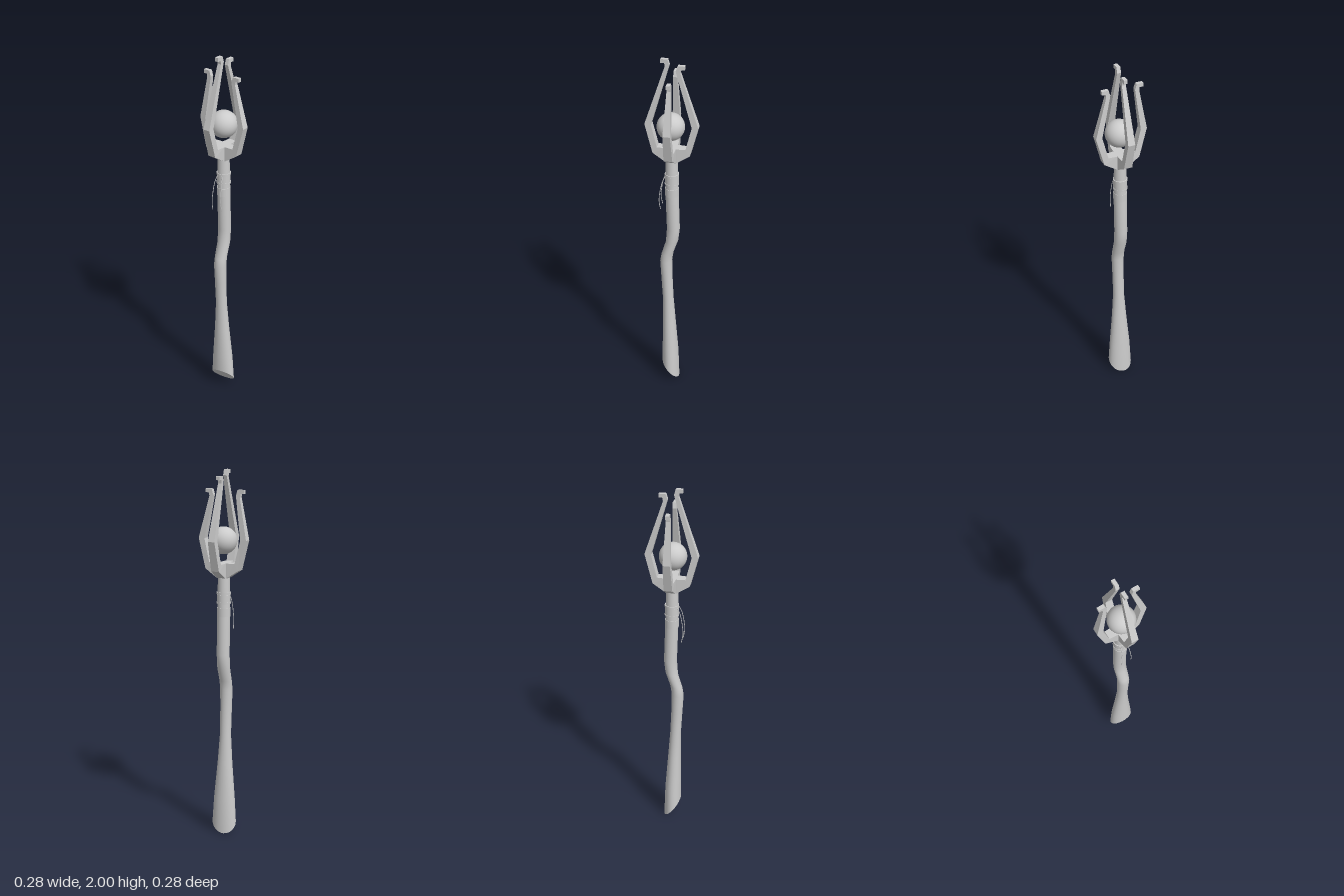
import * as THREE from 'three';

const smooth = new THREE.MeshStandardMaterial({ color: 0xcccccc });
const faceted = new THREE.MeshStandardMaterial({ color: 0xcccccc, flatShading: true });

function part(name, geometry, material, parent) {
  const mesh = new THREE.Mesh(geometry, material);
  mesh.name = name;
  parent.add(mesh);
  return mesh;
}

// Skins a list of equal-length closed rings (arrays of [x, y, z]) and closes both ends.
// Rings run counter-clockwise when seen from the far end.
function loft(rings) {
  const n = rings[0].length, pos = [], index = [];
  rings.forEach(r => r.forEach(p => pos.push(...p)));
  for (let i = 0; i < rings.length - 1; i++) {
    for (let j = 0; j < n; j++) {
      const a = i * n + j, b = i * n + (j + 1) % n;
      index.push(a, b, a + n, b, b + n, a + n);
    }
  }
  // caps use their own vertices so the rims stay sharp
  [rings[0], rings[rings.length - 1]].forEach((ring, end) => {
    const s = pos.length / 3;
    ring.forEach(p => pos.push(...p));
    for (let j = 1; j < n - 1; j++) index.push(s, s + (end ? j : j + 1), s + (end ? j + 1 : j));
  });
  const g = new THREE.BufferGeometry();
  g.setAttribute('position', new THREE.Float32BufferAttribute(pos, 3));
  g.setIndex(index);
  g.computeVertexNormals();
  return g;
}

// Shaft stations: height, centre x, radius x, radius z, slant of the ring
const SHAFT = [
  [0.057, -0.005, 0.048, 0.069, 1.15],
  [0.2, -0.008, 0.045, 0.06, 0.3],
  [0.4, -0.015, 0.036, 0.042, 0],
  [0.56, -0.021, 0.03, 0.031, 0],
  [0.7, -0.028, 0.031, 0.032, 0],
  [0.81, -0.032, 0.033, 0.034, -0.15],
  [0.86, -0.024, 0.033, 0.034, -0.25],
  [0.94, 0.001, 0.034, 0.035, -0.2],
  [1.02, 0.008, 0.035, 0.035, 0],
  [1.2, 0.002, 0.035, 0.035, 0],
  [1.34, -0.001, 0.034, 0.034, 0],
  [1.46, -0.001, 0.031, 0.031, 0],
];

function shaftGeometry() {
  const sides = 24;
  return loft(SHAFT.map(([y, cx, rx, rz, slant]) =>
    Array.from({ length: sides }, (_, j) => {
      const a = -j / sides * Math.PI * 2;
      const x = rx * Math.cos(a), z = rz * Math.sin(a);
      // the cut leans mostly sideways and slightly to the front
      return [cx + x, y - slant * (x - 0.17 * z), z];
    })));
}

// One prong reaching out along +x; tip = inner radius of the hook, top = its height
function prongGeometry(tip, top) {
  // inner radius, inner y, outer radius, outer y, width
  const stations = [
    [0, 1.515, 0, 1.432, 0.052],
    [0.03, 1.515, 0.03, 1.436, 0.052],
    [0.075, 1.515, 0.098, 1.48, 0.046],
    [0.106, 1.64, 0.14, 1.64, 0.038],
    [tip, top - 0.03, tip + 0.023, top - 0.038, 0.021],
    [tip + 0.009, top, tip + 0.025, top - 0.02, 0.02],
    [tip + 0.045, top, tip + 0.045, top - 0.02, 0.019],
  ];
  return loft(stations.map(([ri, yi, ro, yo, w]) => [
    [ri, yi, -w / 2], [ri, yi, w / 2], [ro, yo, w / 2], [ro, yo, -w / 2],
  ]));
}

export function createModel() {
  const model = new THREE.Group();
  model.name = 'staff';

  part('shaft', shaftGeometry(), smooth, model);

  // Cord windings below the head
  const wraps = new THREE.Group();
  wraps.name = 'wraps';
  model.add(wraps);
  [[1.352, 0.012, 0.038], [1.325, 0.04, 0.0365], [1.3, 0.01, 0.038], [1.25, 0.045, 0.0365]]
    .forEach(([y, h, r]) => {
      part('wrapBand', new THREE.CylinderGeometry(r, r, h, 24), smooth, wraps).position.set(0, y, 0);
    });

  // Loose cord ends
  for (const side of [-1, 1]) {
    const curve = new THREE.CatmullRomCurve3([
      [-0.032, 1.345, 0.016], [-0.048, 1.31, 0.022], [-0.06, 1.25, 0.026],
      [-0.064, 1.2, 0.028], [-0.056, 1.15, 0.03],
    ].map(([x, y, z]) => new THREE.Vector3(x, y, z * side)));
    part('cordEnd', new THREE.TubeGeometry(curve, 16, 0.002, 5), smooth, model);
  }

  // Four hooked prongs, turned slightly off the axes: quarter turn, tip radius, top height
  const prongs = new THREE.Group();
  prongs.name = 'prongs';
  prongs.rotation.y = -0.025;
  model.add(prongs);
  [['leftProng', 0, 0.021, 1.97], ['backProng', 1, 0.076, 1.9],
    ['rightProng', 2, 0.012, 2.0], ['frontProng', 3, 0.057, 1.9]]
    .forEach(([name, turn, tip, top]) => {
      part(name, prongGeometry(tip, top), faceted, prongs).rotation.y = turn * Math.PI / 2;
    });

  // Floating orb
  part('orb', new THREE.SphereGeometry(0.073, 32, 20), smooth, model).position.set(-0.005, 1.632, 0.004);

  return model;
}
